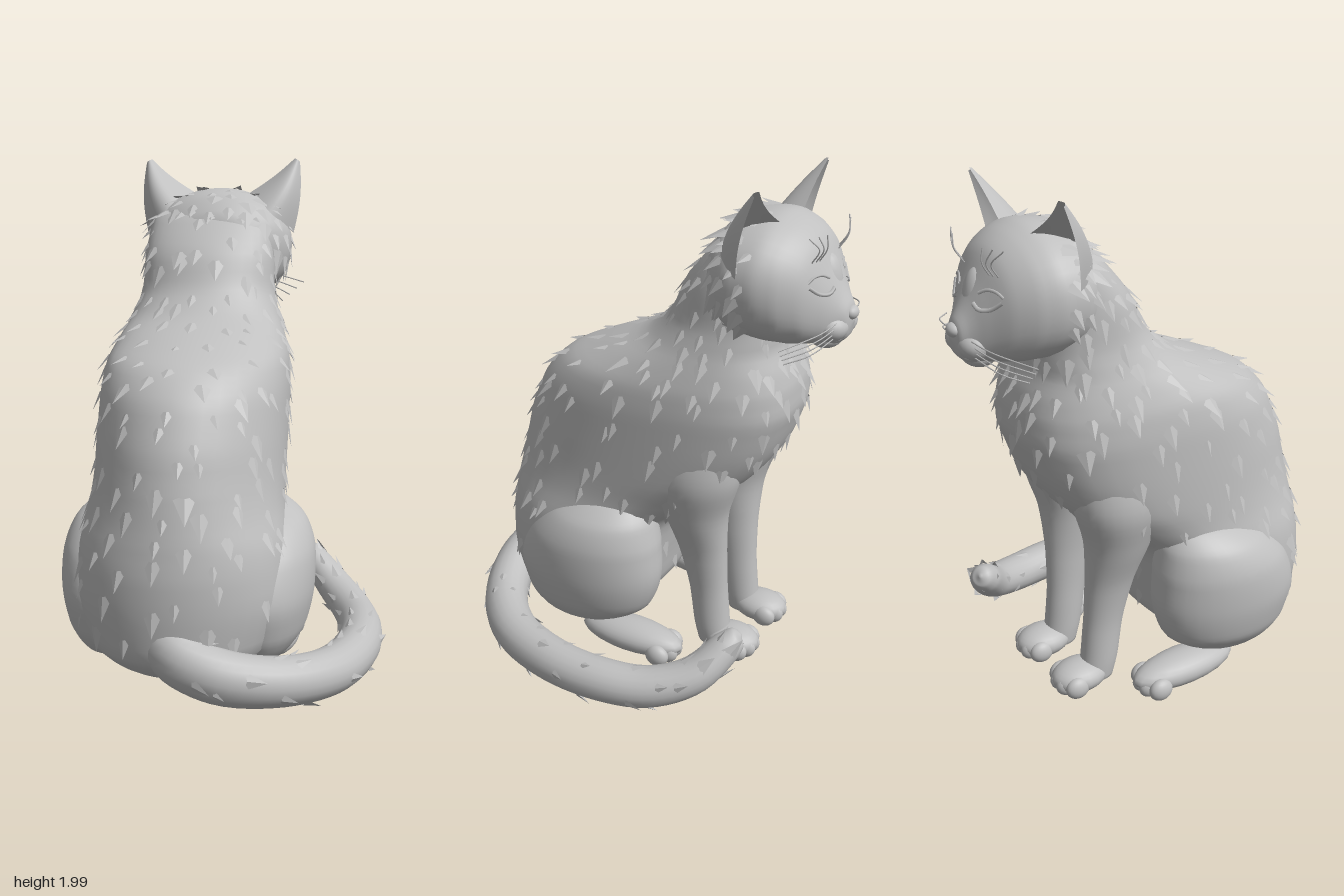
import * as THREE from 'three';
import { mergeVertices, mergeGeometries } from 'three/addons/utils/BufferGeometryUtils.js';
import { ParametricGeometry } from 'three/addons/geometries/ParametricGeometry.js';

const V = (x, y, z) => new THREE.Vector3(x, y, z);
const UP = V(0, 1, 0), FORWARD = V(0, 0, -1);

let seed = 7;
const rnd = () => ((seed = (seed * 16807) % 2147483647) / 2147483647);

// Surface through rings [x, y, z, halfWidth, halfDepth]; rings stand across a fixed axis,
// or across the path itself when no axis is given; full swells the corners of one end of each ring
function loftSurface(rings, axis, full = 0) {
  const centre = new THREE.CatmullRomCurve3(rings.map(r => V(r[0], r[1], r[2])));
  const size = new THREE.CatmullRomCurve3(rings.map(r => V(r[3], r[4], 0)));
  return (u, v, target = V()) => {
    const t = Math.min(1, Math.max(0, v)), a = u * Math.PI * 2;
    const c = centre.getPoint(t), s = size.getPoint(t);
    const along = axis || centre.getTangent(t);
    const side = axis ? V(1, 0, 0) : along.clone().cross(UP).normalize();
    const up = side.clone().cross(along);
    const swell = 1 + full * Math.sin(2 * a) ** 2 * (1 + Math.sin(a)) / 2;
    return target.copy(c).addScaledVector(side, Math.max(0, s.x) * Math.cos(a) * swell)
      .addScaledVector(up, -Math.max(0, s.y) * Math.sin(a) * swell);
  };
}

function skin(surface, around = 32, along = 40) {
  const g = new ParametricGeometry(surface, around, along);
  g.deleteAttribute('uv');
  g.deleteAttribute('normal');
  const welded = mergeVertices(g, 1e-4);
  welded.computeVertexNormals();
  return welded;
}

// Pointed locks of fur scattered over a surface, lying along dir (or along the surface)
function furLocks(surface, rows, cols, v0, v1, length, dir) {
  const pos = [];
  for (let i = 0; i < rows; i++) for (let j = 0; j < cols; j++) {
    const u = (j + (i % 2) / 2 + (rnd() - 0.5) * 0.6) / cols;
    const v = v0 + (v1 - v0) * (i + rnd() * 0.8) / rows;
    const p = surface(u, v);
    const du = surface(u + 0.004, v).sub(p), dv = surface(u, v + 0.004).sub(p);
    const n = du.cross(dv).normalize();
    const d = (dir || dv).clone();
    d.addScaledVector(n, -d.dot(n)).normalize();
    const side = d.clone().cross(n), len = length * (0.7 + rnd() * 0.6);
    const at = (s, k, h) => p.clone().addScaledVector(side, s).addScaledVector(d, k).addScaledVector(n, h);
    const left = at(len * 0.42, 0, -0.01), right = at(-len * 0.42, 0, -0.01);
    const ridge = at(0, len * 0.1, 0.003), tip = at(0, len, 0.016);
    for (const q of [left, tip, ridge, ridge, tip, right]) pos.push(q.x, q.y, q.z);
  }
  const g = new THREE.BufferGeometry();
  g.setAttribute('position', new THREE.Float32BufferAttribute(pos, 3));
  g.computeVertexNormals();
  return g;
}

const ball = (x, y, z, a, b, c) => new THREE.SphereGeometry(1, 20, 14).scale(a, b, c).translate(x, y, z);
const strand = (points, r) => new THREE.TubeGeometry(new THREE.CatmullRomCurve3(points), 10, r, 5);

export function createModel() {
  const model = new THREE.Group();
  model.name = 'sittingCat';
  const fur = new THREE.MeshStandardMaterial({ color: 0xc0c0c0, side: THREE.DoubleSide });
  fur.name = 'greyFur';

  const body = new THREE.Group(), head = new THREE.Group();
  body.name = 'bodyGroup';
  body.position.x = -0.13;
  head.name = 'headGroup';
  head.position.x = -0.105;
  model.add(body, head);
  const add = (parent, name, geometry) => {
    const m = new THREE.Mesh(geometry, fur);
    m.name = name;
    parent.add(m);
  };

  // Torso and neck: [y, back z, chest z, half width]
  const torso = loftSurface([
    [0.09, 0.37, 0.37, 0], [0.11, 0.58, 0.14, 0.22], [0.2, 0.68, 0, 0.34], [0.38, 0.695, -0.04, 0.39],
    [0.56, 0.685, -0.09, 0.385], [0.69, 0.665, -0.25, 0.365], [0.8, 0.645, -0.4, 0.36],
    [0.95, 0.605, -0.5, 0.36], [1.09, 0.54, -0.55, 0.36], [1.2, 0.43, -0.55, 0.35],
    [1.28, 0.25, -0.53, 0.325], [1.36, 0.06, -0.5, 0.295], [1.46, -0.05, -0.5, 0.27],
    [1.6, -0.12, -0.5, 0.265], [1.75, -0.25, -0.5, 0.235], [1.83, -0.36, -0.46, 0.1],
  ].map(([y, b, f, w]) => [0, y, (b + f) / 2, w, (b - f) / 2]), UP, 0.11);
  add(body, 'torso', skin(torso, 40, 60));
  add(body, 'torsoFur', furLocks(torso, 18, 16, 0.16, 0.96, 0.085, V(0, -1, 0.15)));

  for (const s of [1, -1]) {
    const label = s > 0 ? 'left' : 'right';

    // Hind leg: folded thigh, long foot and toes
    add(body, label + 'Thigh', skin(loftSurface([
      [0.27, 0.1, 0.25, 0, 0], [0.275, 0.13, 0.25, 0.11, 0.18], [0.28, 0.22, 0.22, 0.175, 0.28],
      [0.28, 0.36, 0.21, 0.205, 0.315], [0.28, 0.5, 0.185, 0.205, 0.285], [0.27, 0.61, 0.145, 0.175, 0.22],
      [0.25, 0.68, 0.1, 0.1, 0.12], [0.24, 0.695, 0.09, 0, 0],
    ].map(([x, ...r]) => [x * s, ...r]), UP)));
    const hind = [ball(0.325 * s, 0.095, -0.01, 0.09, 0.065, 0.23)];
    // Front leg: shoulder to wrist, then paw
    add(body, label + 'FrontLeg', skin(loftSurface([
      [0.14, 1.12, -0.2, 0.02, 0.04], [0.17, 1.0, -0.21, 0.13, 0.19], [0.18, 0.84, -0.21, 0.15, 0.19],
      [0.17, 0.66, -0.215, 0.12, 0.135], [0.15, 0.48, -0.24, 0.082, 0.1], [0.14, 0.3, -0.265, 0.067, 0.08],
      [0.14, 0.14, -0.285, 0.067, 0.075], [0.14, 0.06, -0.3, 0.06, 0.07], [0.14, 0.04, -0.3, 0, 0],
    ].map(([x, ...r]) => [x * s, ...r]), UP)));
    const front = [ball(0.14 * s, 0.085, -0.375, 0.09, 0.06, 0.115)];
    for (let i = 0; i < 4; i++) {
      const k = i - 1.5, z = Math.abs(k) * 0.02;
      hind.push(ball(0.325 * s + k * 0.042, 0.075, -0.19 + z, 0.033, 0.045, 0.05));
      front.push(ball(0.14 * s + k * 0.042, 0.075, -0.45 + z, 0.033, 0.045, 0.05));
    }
    add(body, label + 'HindFoot', mergeGeometries(hind));
    add(body, label + 'FrontPaw', mergeGeometries(front));
  }

  // Tail curling round the left side, tip raised
  const tail = loftSurface([
    [-0.2, 0.32, 0.55, 0.06, 0.07], [-0.1, 0.225, 0.64, 0.09, 0.1], [0.05, 0.165, 0.66, 0.092, 0.098],
    [0.25, 0.125, 0.585, 0.09, 0.09], [0.42, 0.106, 0.42, 0.09, 0.087], [0.51, 0.1, 0.18, 0.088, 0.086],
    [0.525, 0.1, -0.05, 0.086, 0.083], [0.485, 0.11, -0.25, 0.083, 0.078], [0.4, 0.165, -0.4, 0.078, 0.07],
    [0.3, 0.26, -0.485, 0.064, 0.06], [0.265, 0.295, -0.515, 0.042, 0.042], [0.255, 0.305, -0.53, 0, 0],
  ]);
  add(model, 'tail', skin(tail, 20, 60));
  add(model, 'tailFur', furLocks(tail, 13, 4, 0.12, 0.85, 0.065));

  // Head, from nape to muzzle
  const skull = loftSurface([
    [0, 1.6, -0.2, 0, 0], [0, 1.61, -0.24, 0.17, 0.14], [0, 1.63, -0.31, 0.26, 0.2],
    [0, 1.635, -0.39, 0.3, 0.225], [0, 1.635, -0.47, 0.3, 0.23], [0, 1.62, -0.55, 0.27, 0.22],
    [0, 1.595, -0.62, 0.21, 0.19], [0, 1.55, -0.67, 0.14, 0.14], [0, 1.51, -0.71, 0.085, 0.1],
    [0, 1.5, -0.74, 0.05, 0.06], [0, 1.5, -0.755, 0, 0],
  ], FORWARD, 0.08);
  add(head, 'skull', skin(skull, 40, 50));
  add(head, 'headFur', furLocks(skull, 6, 15, 0.12, 0.4, 0.085, V(0, -1, 0.5)));
  // Frontmost point of the head at a given x and y
  const onFace = (x, y, lift = 0) => {
    for (let v = 1; v > 0.3; v -= 0.005) {
      const r = skull(0, v), cy = skull(0.5, v).add(r).y / 2, h = skull(0.75, v).y - cy;
      if (r.x > 0 && h > 0 && (x / r.x) ** 2 + ((y - cy) / h) ** 2 <= 1) return V(x, y, r.z - lift);
    }
    return V(x, y, -0.5);
  };

  // Nose, chin and mouth
  add(head, 'noseBridge', ball(0, 1.58, -0.64, 0.07, 0.15, 0.062));
  add(head, 'nose', ball(0, 1.525, -0.74, 0.035, 0.026, 0.027));
  add(head, 'chin', ball(0, 1.425, -0.655, 0.075, 0.045, 0.06));

  for (const s of [1, -1]) {
    const label = s > 0 ? 'left' : 'right';
    add(head, label + 'Muzzle', ball(0.045 * s, 1.475, -0.685, 0.068, 0.053, 0.062));

    // Ear: curved shell open to the face
    const inner = V(0.09, 1.83, -0.5), back = V(0.2, 1.78, -0.2), outer = V(0.31, 1.68, -0.43);
    const tip = V(0.33, 2.005, -0.505);
    const rim = new THREE.QuadraticBezierCurve3(inner, back, outer);
    const ear = (u, v, target) => {
      const p = rim.getPoint(s > 0 ? 1 - u : u);
      p.lerp(tip, v * 0.9).add(V(0.015, 0, 0.01).multiplyScalar(Math.sin(v * Math.PI)));
      target.set(p.x * s, p.y, p.z);
    };
    add(head, label + 'Ear', skin(ear, 14, 12));

    // Closed eye: curved lash line and a soft brow fold
    const eyeLine = (points, r) => strand(points.map(([x, y]) => onFace(x * s, y, 0.002)), r);
    add(head, label + 'LashLine', eyeLine([[0.06, 1.625], [0.09, 1.61], [0.13, 1.615], [0.17, 1.645]], 0.008));
    add(head, label + 'BrowFold', eyeLine([[0.07, 1.66], [0.1, 1.675], [0.14, 1.675], [0.17, 1.66]], 0.006));
    add(head, label + 'Mouth', strand([V(0, 1.46, -0.736), V(0.03 * s, 1.435, -0.725),
      V(0.07 * s, 1.435, -0.7), V(0.11 * s, 1.45, -0.645)], 0.006));

    // Whiskers and brow hairs
    const hairs = [];
    for (let i = 0; i < 4; i++) {
      const y = 1.505 - i * 0.017;
      hairs.push(strand([V(0.07 * s, y, -0.72), V(0.2 * s, y - 0.01 - i * 0.01, -0.7 + i * 0.01),
        V((0.34 - i * 0.03) * s, y - 0.04 - i * 0.01, -0.61 + i * 0.005)], 0.0025));
    }
    for (let i = 0; i < 3; i++) {
      const root = onFace((0.09 + i * 0.02) * s, 1.72);
      hairs.push(strand([root, root.clone().add(V(0.01 * s, 0.05, -0.03)),
        root.clone().add(V((0.02 + i * 0.02) * s, 0.1, -0.03 + i * 0.01))], 0.0025));
    }
    add(head, label + 'Whiskers', mergeGeometries(hairs));
  }
  return model;
}
